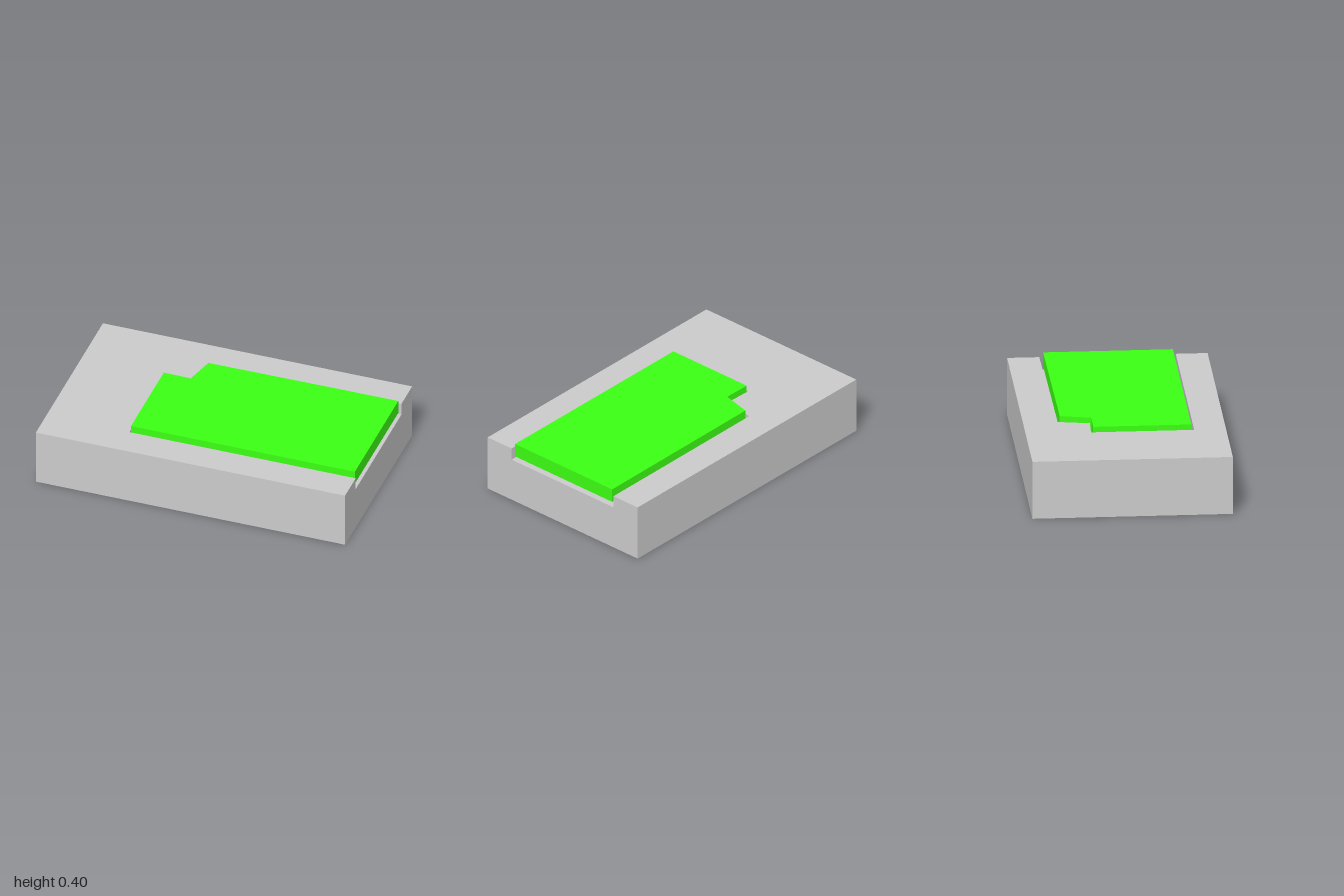
import * as THREE from 'three';
import { mergeGeometries } from 'three/addons/utils/BufferGeometryUtils.js';

const W = 1, D = 0.613, TOP = 0.366, FLOOR = 0.286;

// Pocket outline as [x, z], open at the left (+x) side
const POCKET = [[W, 0.418], [-0.463, 0.418], [-0.463, -0.213], [-0.287, -0.207], [-0.247, -0.411], [W, -0.416]];
// Plate outline as [x, z]
const PLATE = [[0.988, 0.4], [-0.46, 0.4], [-0.46, -0.2], [-0.285, -0.197], [-0.238, -0.387], [0.988, -0.394]];

const toShape = (pts) => new THREE.Shape(pts.map(([x, z]) => new THREE.Vector2(x, -z)));

// Horizontal face looking up
function flat(pts, y) {
  return new THREE.ShapeGeometry(toShape(pts)).rotateX(-Math.PI / 2).translate(0, y, 0);
}

// Upright faces along a path, looking to the right-hand side of travel
function walls(path, y0, y1) {
  return path.slice(1).map(([x2, z2], i) => {
    const [x1, z1] = path[i];
    return new THREE.PlaneGeometry(Math.hypot(x2 - x1, z2 - z1), y1 - y0)
      .rotateY(Math.atan2(z1 - z2, x2 - x1))
      .translate((x1 + x2) / 2, (y0 + y1) / 2, (z1 + z2) / 2);
  });
}

function baseGeometry() {
  const first = POCKET[0], last = POCKET[POCKET.length - 1];
  // Top rim around the pocket
  const rim = flat([[W, D], [-W, D], [-W, -D], [W, -D], ...[...POCKET].reverse()], TOP);
  // Notched open end
  const end = new THREE.ShapeGeometry(new THREE.Shape([
    [-D, 0], [D, 0], [D, TOP], [-last[1], TOP], [-last[1], FLOOR],
    [-first[1], FLOOR], [-first[1], TOP], [-D, TOP],
  ].map(([a, b]) => new THREE.Vector2(a, b)))).rotateY(Math.PI / 2).translate(W, 0, 0);
  const underside = new THREE.PlaneGeometry(2 * W, 2 * D).rotateX(Math.PI / 2);
  return mergeGeometries([
    rim, end, underside, flat(POCKET, FLOOR),
    ...walls(POCKET, FLOOR, TOP),
    ...walls([[W, -D], [-W, -D], [-W, D], [W, D]], 0, TOP),
  ]);
}

export function createModel() {
  const model = new THREE.Group();
  model.name = 'plateInTray';

  // Block with a stepped pocket
  const base = new THREE.Mesh(baseGeometry(), new THREE.MeshStandardMaterial({ color: 0xcccccc }));
  base.name = 'baseBlock';

  // Plate held just above the pocket floor
  const plateGeo = new THREE.ExtrudeGeometry(toShape(PLATE), { depth: 0.089, bevelEnabled: false })
    .rotateX(-Math.PI / 2).translate(0, 0.311, 0);
  const plate = new THREE.Mesh(plateGeo, new THREE.MeshStandardMaterial({ color: 0x3cff14 }));
  plate.name = 'plate';

  model.add(base, plate);
  return model;
}
